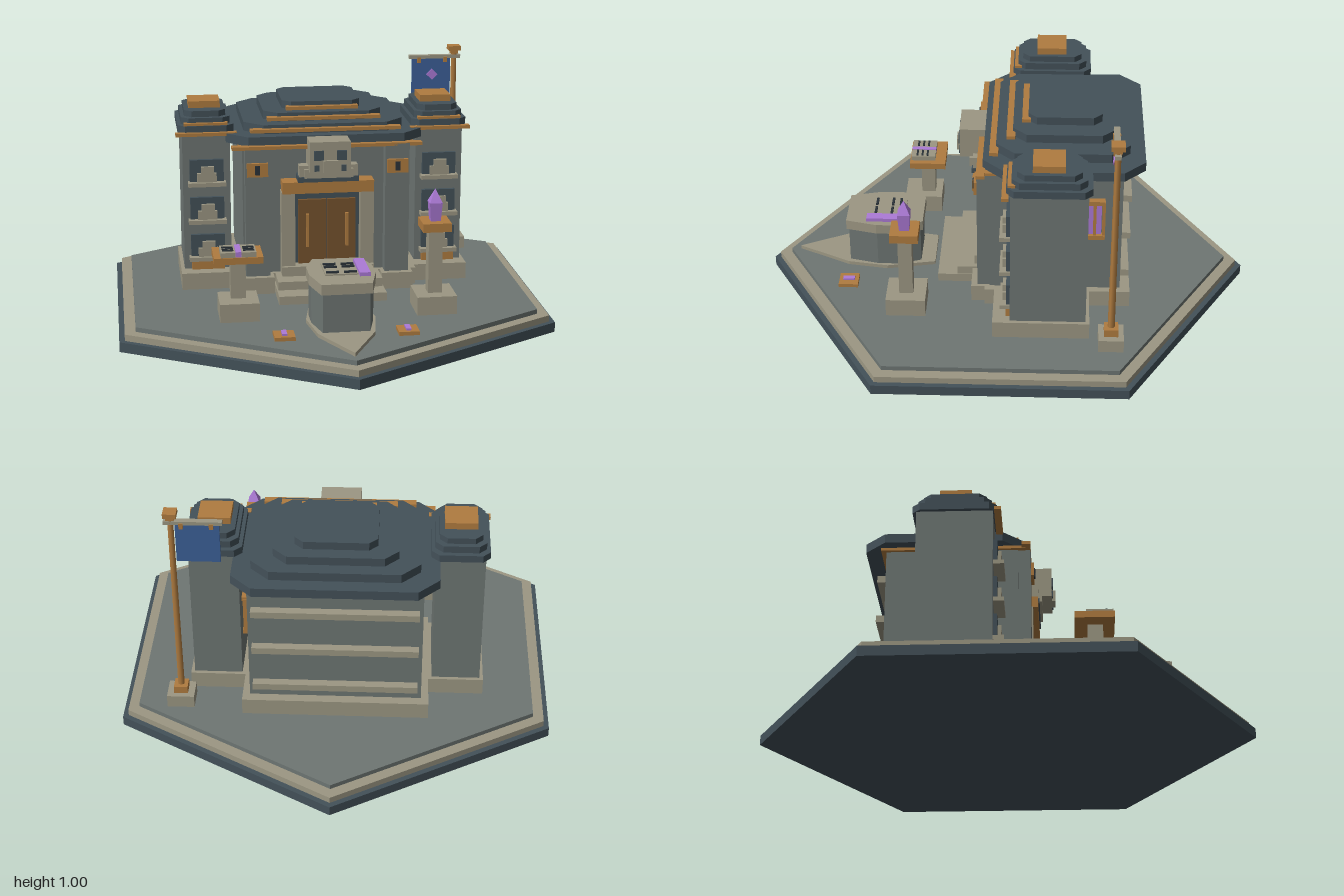
import * as THREE from 'three';

const mat = (name, color) => {
  const m = new THREE.MeshStandardMaterial({ color });
  m.name = name;
  return m;
};

export function createModel() {
  const slate = mat('dark slate', 0x435159), grey = mat('grey stone', 0x6e7673), stone = mat('pale stone', 0x9c9783);
  const bronze = mat('bronze', 0xb07c40), wood = mat('door wood', 0x76532e), purple = mat('purple crystal', 0xac7ad6);
  const blue = mat('banner blue', 0x3c6098), dark = mat('dark metal', 0x2a3238);

  const root = new THREE.Group();
  const group = (name) => {
    const g = new THREE.Group();
    g.name = name;
    root.add(g);
    return g;
  };
  const add = (g, name, geo, m) => {
    const mesh = new THREE.Mesh(geo, m);
    mesh.name = name;
    g.add(mesh);
    return mesh;
  };
  // Box given by its minimum and maximum on each axis
  const box = (g, name, m, x0, x1, y0, y1, z0, z1) => {
    const mesh = add(g, name, new THREE.BoxGeometry(x1 - x0, y1 - y0, z1 - z0), m);
    mesh.position.set((x0 + x1) / 2, (y0 + y1) / 2, (z0 + z1) / 2);
    return mesh;
  };
  // Upright prism over a ground outline of [x, z] points
  const prism = (g, name, m, pts, y0, y1) => {
    const shape = new THREE.Shape(pts.map(([x, z]) => new THREE.Vector2(x, -z)));
    const geo = new THREE.ExtrudeGeometry(shape, { depth: y1 - y0, bevelEnabled: false });
    geo.rotateX(-Math.PI / 2);
    add(g, name, geo, m).position.y = y0;
  };
  const octagon = (x0, x1, z0, z1, c) => [
    [x0 + c, z0], [x1 - c, z0], [x1, z0 + c], [x1, z1 - c],
    [x1 - c, z1], [x0 + c, z1], [x0, z1 - c], [x0, z0 + c]];

  // Hexagonal ground in three tiers
  const ground = group('hexagonalBase');
  [[1, 0, 0.04, slate], [0.975, 0.04, 0.066, stone], [0.925, 0.066, 0.085, grey]].forEach(([r, y0, y1, m], i) => {
    const tier = add(ground, 'baseTier' + i, new THREE.CylinderGeometry(r, r, y1 - y0, 6).toNonIndexed(), m);
    tier.geometry.computeVertexNormals();
    tier.position.y = (y0 + y1) / 2;
  });

  // Main hall with plinth, back ledges and stepped roof
  const hall = group('mainHall');
  box(hall, 'hallWalls', grey, -0.345, 0.345, 0.085, 0.705, -0.47, 0.06);
  box(hall, 'hallPlinth', stone, -0.375, 0.375, 0.085, 0.155, -0.51, 0.08);
  [0.22, 0.4, 0.575].forEach((y) => box(hall, 'backLedge', stone, -0.33, 0.33, y - 0.014, y + 0.014, -0.505, -0.47));
  [
    [0.405, -0.555, 0.085, 0.085, 0.70, 0.738],
    [0.33, -0.495, 0.035, 0.075, 0.738, 0.775],
    [0.245, -0.44, -0.03, 0.055, 0.775, 0.81],
    [0.163, -0.385, -0.09, 0.035, 0.81, 0.843],
  ].forEach(([x, z0, z1, c, y0, y1]) => prism(hall, 'roofTier', slate, octagon(-x, x, z0, z1, c), y0, y1));
  [[0.39, 0.69, 0.085], [0.31, 0.748, 0.035], [0.235, 0.782, -0.03], [0.15, 0.812, -0.09]].forEach(([x, y, z]) =>
    box(hall, 'roofTrim', bronze, -x, x, y, y + 0.014, z - 0.01, z + 0.025));
  box(hall, 'underRoofTrim', bronze, -0.36, 0.36, 0.688, 0.70, -0.49, 0.09);

  // Pilasters with bronze lamps
  for (const s of [-1, 1]) {
    const p = group(s < 0 ? 'rightPilaster' : 'leftPilaster');
    const cx = s * 0.288;
    box(p, 'pilasterShaft', grey, cx - 0.05, cx + 0.05, 0.085, 0.70, -0.02, 0.11);
    box(p, 'pilasterBase', stone, cx - 0.065, cx + 0.065, 0.085, 0.155, -0.02, 0.135);
    box(p, 'pilasterLamp', bronze, cx - 0.043, cx + 0.043, 0.58, 0.637, 0.1, 0.122);
    box(p, 'lampSlot', dark, cx - 0.01, cx + 0.01, 0.59, 0.628, 0.12, 0.127);
  }

  // Entrance
  const door = group('entrance');
  box(door, 'doorRecess', slate, -0.14, 0.14, 0.19, 0.52, 0.05, 0.07);
  for (const s of [-1, 1]) {
    const cx = s * 0.0605;
    box(door, 'doorLeaf', wood, cx - 0.0585, cx + 0.0585, 0.195, 0.468, 0.06, 0.085);
    box(door, 'doorHandle', bronze, s * 0.082 - 0.006, s * 0.082 + 0.006, 0.27, 0.41, 0.085, 0.1);
    box(door, 'doorJamb', stone, s * 0.163 - 0.028, s * 0.163 + 0.028, 0.085, 0.51, 0.05, 0.115);
  }
  box(door, 'lintel', bronze, -0.188, 0.188, 0.508, 0.556, 0.05, 0.135);
  [[0.22, 0.28, 0.12], [0.215, 0.2, 0.155], [0.19, 0.13, 0.195]].forEach(([x, z, y]) =>
    box(door, 'entranceStep', stone, -x, x, 0.085, y, 0.05, z));

  // Carved guardian head above the door
  const head = group('guardianHead');
  box(head, 'headBlock', stone, -0.083, 0.083, 0.608, 0.735, 0.05, 0.19);
  box(head, 'headBracket', stone, -0.1, 0.1, 0.575, 0.612, 0.06, 0.15);
  box(head, 'headShelf', slate, -0.125, 0.125, 0.556, 0.578, 0.06, 0.14);
  box(head, 'muzzle', stone, -0.03, 0.03, 0.61, 0.66, 0.18, 0.205);
  for (const s of [-1, 1]) {
    box(head, 'eye', slate, s * 0.046 - 0.02, s * 0.046 + 0.02, 0.66, 0.7, 0.187, 0.195);
    box(head, 'cheek', stone, s * 0.1 - 0.02, s * 0.1 + 0.02, 0.578, 0.625, 0.09, 0.135);
    box(head, 'tooth', slate, s * 0.055 - 0.01, s * 0.055 + 0.01, 0.615, 0.64, 0.187, 0.195);
  }

  // Two side towers
  for (const s of [-1, 1]) {
    const t = group(s < 0 ? 'rightTower' : 'leftTower');
    t.position.x = s * 0.486;
    box(t, 'towerWalls', grey, -0.098, 0.098, 0.085, 0.74, -0.33, -0.03);
    box(t, 'towerPlinth', stone, -0.113, 0.113, 0.085, 0.155, -0.345, 0.04);
    box(t, 'towerFoot', bronze, -0.068, 0.068, 0.155, 0.192, -0.04, -0.012);
    [[0.115, -0.345, -0.015, 0.738, 0.768], [0.1, -0.325, -0.035, 0.768, 0.797], [0.085, -0.305, -0.055, 0.797, 0.822]]
      .forEach(([x, z0, z1, y0, y1]) => prism(t, 'towerRoofTier', slate, octagon(-x, x, z0, z1, 0.03), y0, y1));
    box(t, 'towerCap', bronze, -0.065, 0.065, 0.82, 0.85, -0.24, -0.115);
    box(t, 'towerTrim', bronze, -0.125, 0.125, 0.728, 0.742, -0.025, 0.002);
    box(t, 'towerUpperTrim', bronze, -0.09, 0.09, 0.768, 0.778, -0.05, -0.02);
    // Niches, each with a small carved bust on a sill
    [0.2, 0.36, 0.52].forEach((y) => {
      box(t, 'nichePanel', slate, -0.07, 0.07, y, y + 0.105, -0.04, -0.014);
      box(t, 'nicheSill', stone, -0.078, 0.078, y - 0.004, y + 0.013, -0.04, 0.012);
      box(t, 'nicheBust', stone, -0.04, 0.04, y + 0.013, y + 0.05, -0.02, 0.0);
      box(t, 'nicheHead', stone, -0.024, 0.03, y + 0.05, y + 0.078, -0.02, 0.0);
    });
  }

  // Crystal window on the left side wall
  const win = group('sideWindow');
  box(win, 'windowGlass', purple, 0.34, 0.357, 0.42, 0.565, -0.387, -0.323);
  [0.405, 0.565].forEach((y) => box(win, 'windowRail', bronze, 0.34, 0.372, y, y + 0.018, -0.4, -0.31));
  [-0.396, -0.36, -0.324].forEach((z) => box(win, 'windowBar', bronze, 0.34, 0.368, 0.41, 0.575, z - 0.006, z + 0.006));

  // Banner pole
  const pole = group('bannerPole');
  const px = 0.628, pz = -0.43;
  box(pole, 'poleBase', stone, px - 0.055, px + 0.055, 0.085, 0.138, pz - 0.05, pz + 0.05);
  box(pole, 'poleSocket', bronze, px - 0.028, px + 0.028, 0.138, 0.17, pz - 0.028, pz + 0.028);
  add(pole, 'poleShaft', new THREE.CylinderGeometry(0.012, 0.014, 0.82, 6), bronze).position.set(px, 0.57, pz);
  box(pole, 'poleCollar', bronze, px - 0.016, px + 0.016, 0.965, 0.982, pz - 0.016, pz + 0.016);
  box(pole, 'poleCap', bronze, px - 0.026, px + 0.026, 0.98, 1.0, pz - 0.026, pz + 0.026);
  box(pole, 'crossArm', stone, 0.43, 0.655, 0.945, 0.96, pz - 0.012, pz + 0.012);
  box(pole, 'banner', blue, 0.442, 0.612, 0.775, 0.945, pz - 0.005, pz + 0.005);
  [0.472, 0.588].forEach((x) => box(pole, 'bannerClip', bronze, x - 0.008, x + 0.008, 0.928, 0.952, pz - 0.015, pz + 0.015));
  const diamond = box(pole, 'bannerDiamond', purple, 0.513, 0.547, 0.858, 0.892, pz + 0.004, pz + 0.013);
  diamond.rotation.z = Math.PI / 4;

  // Crystal pedestal
  const ped = group('crystalPedestal');
  ped.position.set(0.39, 0, 0.395);
  box(ped, 'pedestalBase', stone, -0.08, 0.08, 0.085, 0.16, -0.08, 0.08);
  box(ped, 'pedestalPost', stone, -0.028, 0.028, 0.16, 0.42, -0.028, 0.028);
  box(ped, 'pedestalTop', bronze, -0.057, 0.057, 0.42, 0.455, -0.057, 0.057);
  const crystal = [[0.036, 0.028, 0.075, 0.4925], [0, 0.036, 0.055, 0.5575]];
  crystal.forEach(([top, bottom, h, y]) => {
    const geo = new THREE.CylinderGeometry(top, bottom, h, 4, 1).toNonIndexed();
    geo.rotateY(Math.PI / 4);
    geo.computeVertexNormals();
    add(ped, 'crystal', geo, purple).position.y = y;
  });

  // Reading stand with an open book
  const stand = group('bookStand');
  stand.position.set(-0.393, 0, 0.36);
  box(stand, 'standBase', stone, -0.078, 0.078, 0.085, 0.16, -0.06, 0.1);
  box(stand, 'standPost', stone, -0.03, 0.03, 0.16, 0.315, -0.03, 0.03);
  box(stand, 'standTop', bronze, -0.097, 0.097, 0.315, 0.342, -0.08, 0.075);
  for (const s of [-1, 1]) {
    box(stand, 'bookPage', stone, s * 0.041 - 0.029, s * 0.041 + 0.029, 0.342, 0.362, -0.035, 0.07);
    [0, 0.022, 0.044].forEach((z) =>
      box(stand, 'pageLine', dark, s * 0.041 - 0.022, s * 0.041 + 0.022, 0.362, 0.366, z - 0.004, z + 0.004));
  }
  box(stand, 'bookRibbon', purple, -0.011, 0.011, 0.342, 0.364, -0.035, 0.07);

  // Altar desk on its pointed floor plate
  const desk = group('altarDesk');
  prism(desk, 'floorPlate', stone, [[-0.1, 0.3], [0.1, 0.3], [0.138, 0.5], [0.112, 0.665], [0, 0.885], [-0.112, 0.665], [-0.138, 0.5]], 0.085, 0.1);
  const plan = (k) => [[-0.09, 0.36], [0.09, 0.36], [0.122, 0.45], [0.122, 0.54], [0.092, 0.66], [-0.092, 0.66], [-0.122, 0.54], [-0.122, 0.45]]
    .map(([x, z]) => [x * k, 0.51 + (z - 0.51) * k]);
  prism(desk, 'deskBody', grey, plan(1), 0.1, 0.255);
  prism(desk, 'deskTop', stone, plan(1.07), 0.255, 0.297);
  box(desk, 'deskTablet', stone, -0.07, 0.06, 0.297, 0.303, 0.425, 0.565);
  for (const x of [-0.04, 0.03]) {
    [0.45, 0.483, 0.55].forEach((z) => box(desk, 'tabletMark', dark, x - 0.025, x + 0.025, 0.302, 0.31, z - 0.005, z + 0.005));
  }
  box(desk, 'deskRunner', purple, 0.062, 0.104, 0.297, 0.312, 0.405, 0.585);

  // Floor markers
  for (const s of [-1, 1]) {
    const m = group(s < 0 ? 'rightFloorMarker' : 'leftFloorMarker');
    m.position.set(s * 0.24, 0, 0.65);
    box(m, 'markerPlate', bronze, -0.04, 0.04, 0.085, 0.1, -0.04, 0.04);
    box(m, 'markerCrystal', purple, -0.01, 0.01, 0.1, 0.108, -0.024, 0.024);
  }
  return root;
}
